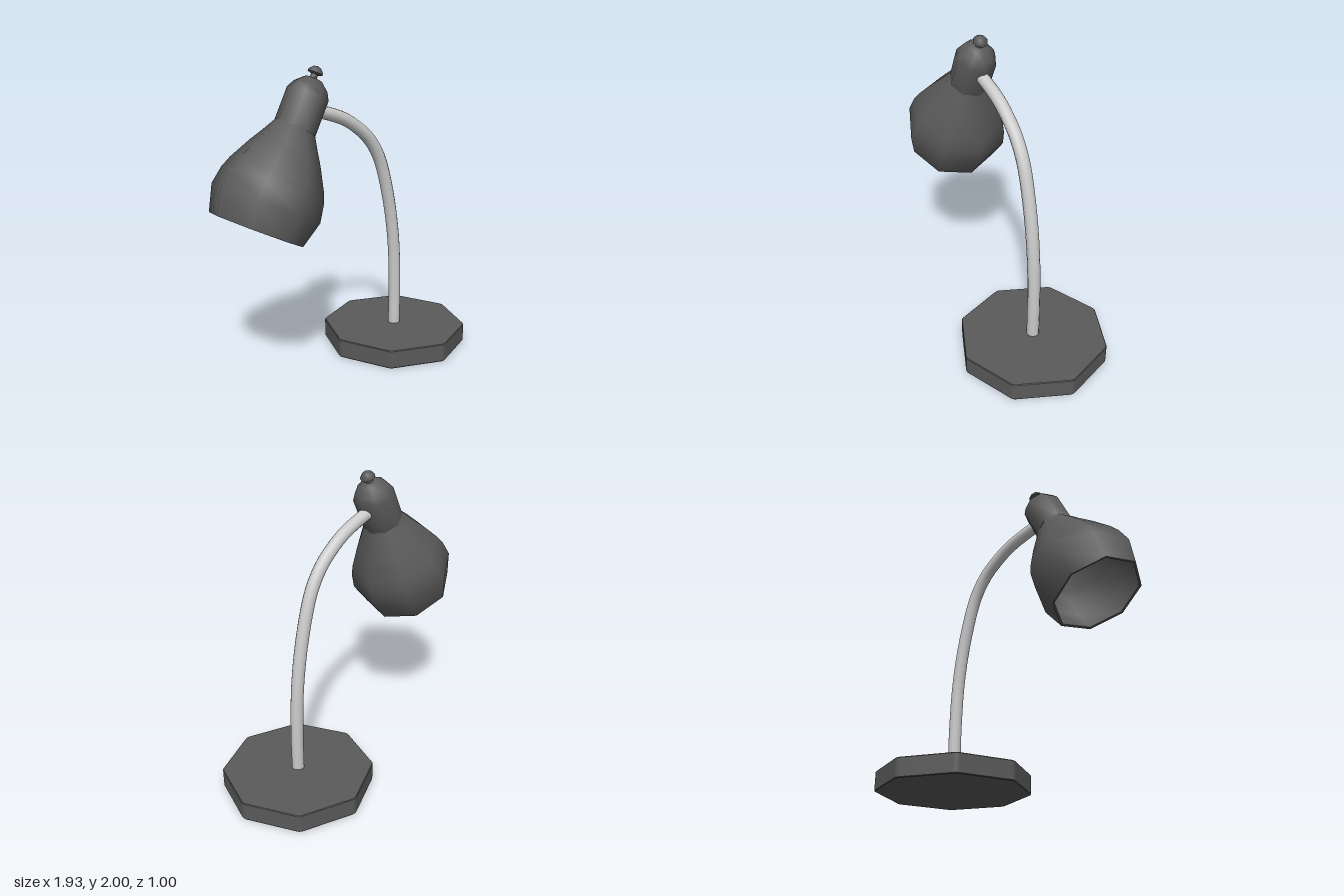
import * as THREE from 'three';
import { toCreasedNormals } from 'three/addons/utils/BufferGeometryUtils.js';

const SIDES = 8;

export function createModel() {
  const lamp = new THREE.Group();
  lamp.name = 'deskLamp';
  const dark = new THREE.MeshStandardMaterial({ color: 0x5a5a5a });
  const grey = new THREE.MeshStandardMaterial({ color: 0xcccccc });

  const add = (parent, name, geometry, material) => {
    const mesh = new THREE.Mesh(geometry, material);
    mesh.name = name;
    parent.add(mesh);
    return mesh;
  };

  // Low-poly turned part; pairs are [radius, height]
  const turned = (pairs, turn = 0) => toCreasedNormals(
    new THREE.LatheGeometry(pairs.map(([r, y]) => new THREE.Vector2(r, y)), SIDES, turn), 1);

  // Base: octagonal slab with slightly rounded corners
  const corner = (i) => {
    const a = (i / SIDES) * Math.PI * 2;
    return new THREE.Vector2(Math.cos(a), Math.sin(a)).multiplyScalar(0.5);
  };
  const outline = new THREE.Shape();
  for (let i = 0; i < SIDES; i++) {
    const c = corner(i);
    const before = c.clone().lerp(corner(i - 1), 0.05);
    const after = c.clone().lerp(corner(i + 1), 0.05);
    if (i === 0) outline.moveTo(before.x, before.y);
    else outline.lineTo(before.x, before.y);
    outline.quadraticCurveTo(c.x, c.y, after.x, after.y);
  }
  outline.closePath();
  const slab = new THREE.ExtrudeGeometry(outline, {
    depth: 0.118, curveSegments: 3,
    bevelEnabled: true, bevelThickness: 0.005, bevelSize: 0.004, bevelSegments: 1,
  });
  slab.rotateX(-Math.PI / 2);
  const base = add(lamp, 'base', slab, dark);
  base.position.set(0.463, 0.005, 0);

  // Stem: bent tube from the base into the cap
  const path = new THREE.CatmullRomCurve3([
    [0.463, 0.1], [0.463, 0.42], [0.443, 0.76], [0.385, 1.09], [0.3, 1.36],
    [0.21, 1.495], [0.11, 1.58], [-0.01, 1.652], [-0.2, 1.715], [-0.27, 1.73],
  ].map(([x, y]) => new THREE.Vector3(x, y, 0)));
  add(lamp, 'stem', new THREE.TubeGeometry(path, 40, 0.042, 12), grey);

  // Head: shade, cap and knob share one tilted axis, starting at the rim centre
  const head = new THREE.Group();
  head.name = 'head';
  head.position.set(-0.696, 1.05, 0.005);
  head.rotation.z = -THREE.MathUtils.degToRad(27);
  lamp.add(head);

  // Shade: outer bell plus a thin inner wall, open at the bottom
  const bell = [
    [0.303, 0], [0.35, 0.17], [0.331, 0.285], [0.302, 0.36],
    [0.23, 0.495], [0.172, 0.59], [0.128, 0.668],
  ];
  const inside = bell.map(([r, y]) => [r - 0.015, y]).reverse();
  inside[inside.length - 1][1] = 0.004;
  add(head, 'shade', turned([[0, 0.66], ...inside, ...bell], 0.045), dark);

  // Cap: domed socket cover over the shade's neck
  const cap = add(head, 'cap', turned([
    [0, 0.655], [0.135, 0.655], [0.135, 0.88], [0.11, 0.928], [0.058, 0.975], [0, 0.986],
  ]), dark);
  cap.position.x = 0.004;

  // Knob: small mushroom switch on a short neck
  add(head, 'knob', turned([
    [0.034, 0.965], [0.022, 0.985], [0.022, 1.005], [0.048, 1.013],
    [0.047, 1.027], [0.026, 1.05], [0, 1.058],
  ]), dark);

  return lamp;
}
